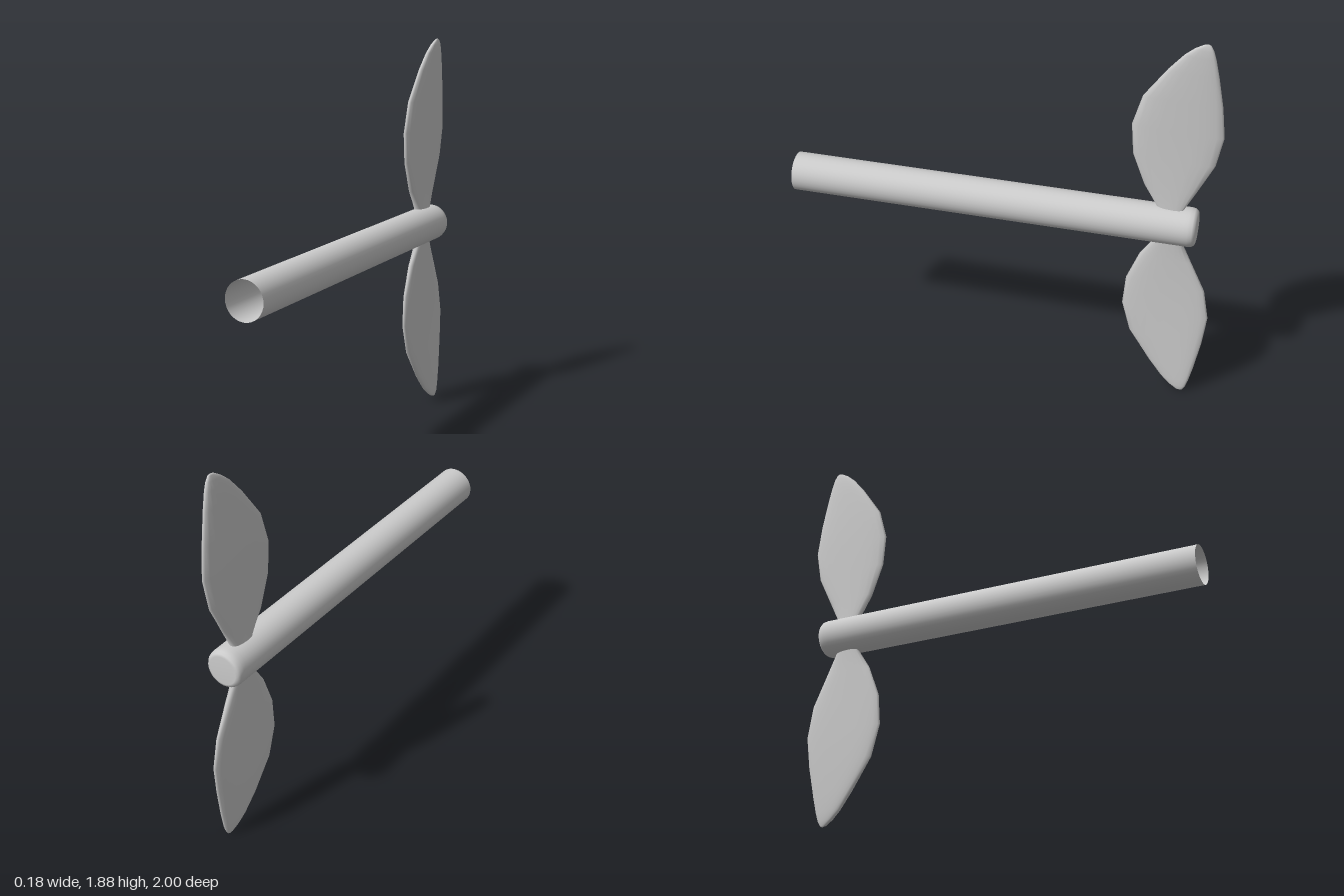
import * as THREE from 'three';

const AXIS_Y = 0.9375;
const SIDES = 20;

// blade sections: [distance from axis, front z, back z, x centre, half thickness, x lean toward the back edge]
const SECTIONS = [
  [0.05, -0.70, -0.87, -0.004, 0.026, 0.004],
  [0.09, -0.725, -0.85, -0.004, 0.024, 0.004],
  [0.19, -0.66, -0.90, -0.005, 0.021, 0.008],
  [0.34, -0.602, -0.972, -0.005, 0.020, 0.010],
  [0.49, -0.59, -1.0, -0.003, 0.020, 0.012],
  [0.64, -0.632, -0.983, 0.001, 0.020, 0.012],
  [0.79, -0.735, -0.955, 0.009, 0.018, 0.010],
  [0.87, -0.80, -0.937, 0.015, 0.015, 0.007],
  [0.908, -0.842, -0.925, 0.019, 0.012, 0.004],
  [0.931, -0.878, -0.912, 0.021, 0.007, 0.001],
];

const soften = (v, p) => Math.sign(v) * Math.abs(v) ** p;

// lofted blade; dir is +1 for up and -1 for down
function bladeGeometry(dir) {
  const positions = [], index = [];
  const tri = (a, b, c) => (dir > 0 ? index.push(a, b, c) : index.push(a, c, b));
  for (const [r, zf, zb, cx, hx, lean] of SECTIONS) {
    for (let i = 0; i < SIDES; i++) {
      const a = (i / SIDES) * Math.PI * 2;
      const along = soften(Math.cos(a), 0.8);
      const x = cx + hx * soften(Math.sin(a), 0.7) - lean * along;
      positions.push(x, dir * r, (zf + zb) / 2 + ((zf - zb) / 2) * along);
    }
  }
  const rings = SECTIONS.length;
  for (let s = 0; s < rings - 1; s++) {
    for (let i = 0; i < SIDES; i++) {
      const a = s * SIDES + i, b = s * SIDES + ((i + 1) % SIDES);
      tri(a, b, a + SIDES);
      tri(b, b + SIDES, a + SIDES);
    }
  }
  // pointed tip
  const tip = positions.length / 3;
  positions.push(0.021, dir * 0.9375, -0.9);
  for (let i = 0; i < SIDES; i++) {
    const base = (rings - 1) * SIDES;
    tri(base + i, base + ((i + 1) % SIDES), tip);
  }
  const geometry = new THREE.BufferGeometry();
  geometry.setAttribute('position', new THREE.Float32BufferAttribute(positions, 3));
  geometry.setIndex(index);
  geometry.computeVertexNormals();
  return geometry;
}

export function createModel() {
  const group = new THREE.Group();
  group.name = 'propellerShaft';
  const material = new THREE.MeshStandardMaterial({ color: 0xcccccc });
  const openMaterial = new THREE.MeshStandardMaterial({ color: 0xcccccc, side: THREE.DoubleSide });

  // hollow shaft: rounded closed back, open front
  const profile = [
    [0, -0.915], [0.068, -0.915], [0.08, -0.911], [0.088, -0.9],
    [0.091, -0.88], [0.091, -0.86], [0.091, 1],
  ].map(([r, z]) => new THREE.Vector2(r, z));
  const shaft = new THREE.Mesh(new THREE.LatheGeometry(profile, 32).rotateX(Math.PI / 2), openMaterial);
  shaft.name = 'shaft';
  shaft.position.y = AXIS_Y;
  group.add(shaft);

  // mirrored pair of blades
  for (const [name, dir] of [['upperBlade', 1], ['lowerBlade', -1]]) {
    const blade = new THREE.Mesh(bladeGeometry(dir), material);
    blade.name = name;
    blade.position.y = AXIS_Y;
    group.add(blade);
  }
  return group;
}
